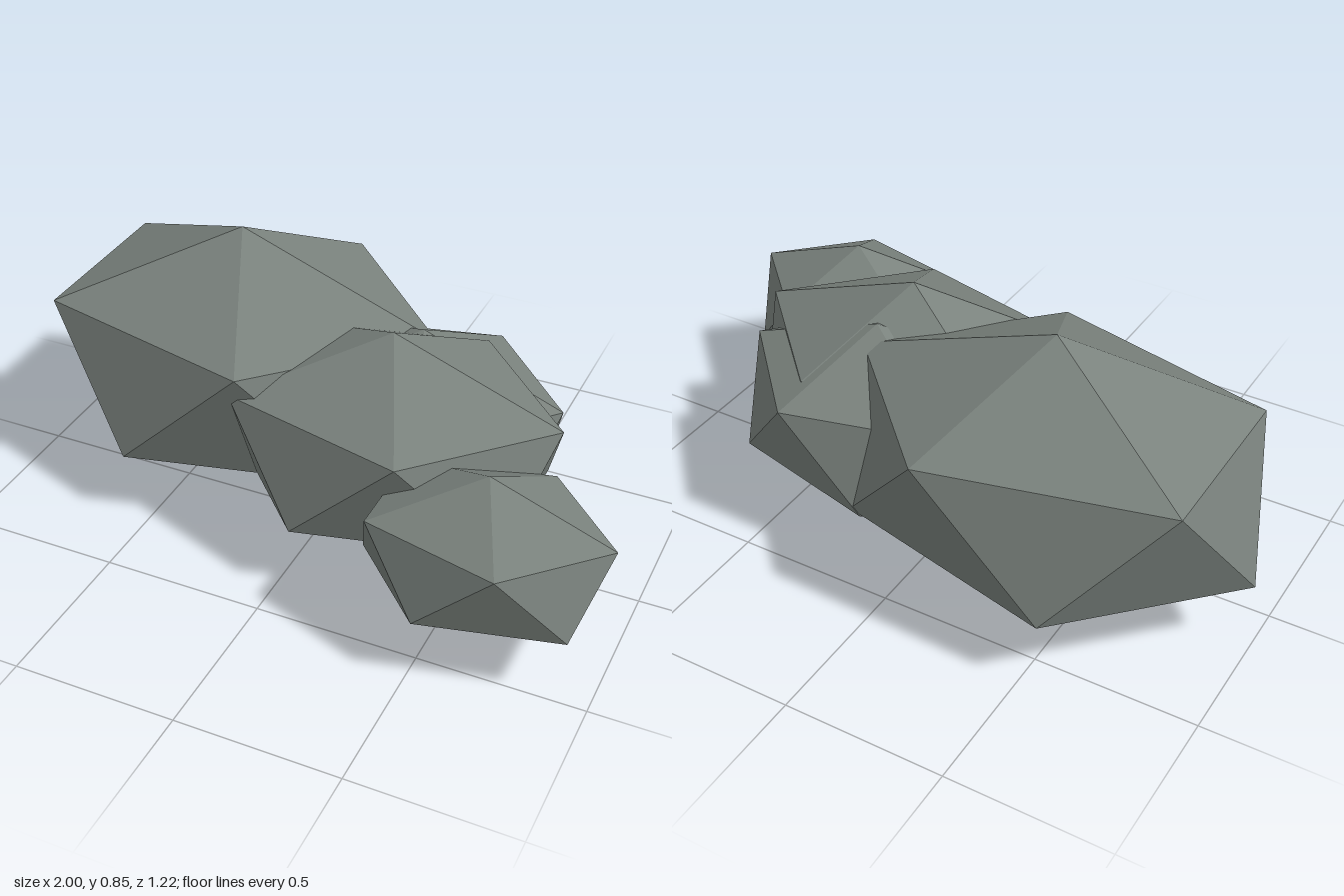
import * as THREE from 'three';
import { ConvexGeometry } from 'three/addons/geometries/ConvexGeometry.js';

// Upright unit icosahedron: two poles and two staggered rings of five
function boulderGeometry() {
  const ringY = 1 / Math.sqrt(5), ringR = 2 / Math.sqrt(5);
  const points = [new THREE.Vector3(0, 1, 0), new THREE.Vector3(0, -1, 0)];
  for (let i = 0; i < 5; i++) {
    const a = (i * 2 * Math.PI) / 5, b = a + Math.PI / 5;
    points.push(new THREE.Vector3(ringR * Math.cos(a), ringY, ringR * Math.sin(a)));
    points.push(new THREE.Vector3(ringR * Math.cos(b), -ringY, ringR * Math.sin(b)));
  }
  return new ConvexGeometry(points);
}

export function createModel() {
  const group = new THREE.Group();
  group.name = 'rockCluster';
  const stone = new THREE.MeshStandardMaterial({ color: 0x7a827d, flatShading: true });
  stone.name = 'grey stone';

  // Name, centre and radii of each boulder
  const boulders = [
    ['largeBoulder', [-0.363, 0.428, -0.163], [0.712, 0.427, 0.529]],
    ['middleBoulder', [0.217, 0.39, 0.031], [0.581, 0.349, 0.435]],
    ['smallFrontBoulder', [0.635, 0.335, 0.355], [0.408, 0.245, 0.3]],
    ['backBoulder', [0.247, 0.365, -0.126], [0.492, 0.305, 0.382]],
  ];
  for (const [name, centre, radii] of boulders) {
    const geometry = boulderGeometry().scale(...radii);
    geometry.computeVertexNormals();
    const mesh = new THREE.Mesh(geometry, stone);
    mesh.name = name;
    mesh.position.set(...centre);
    group.add(mesh);
  }
  return group;
}
